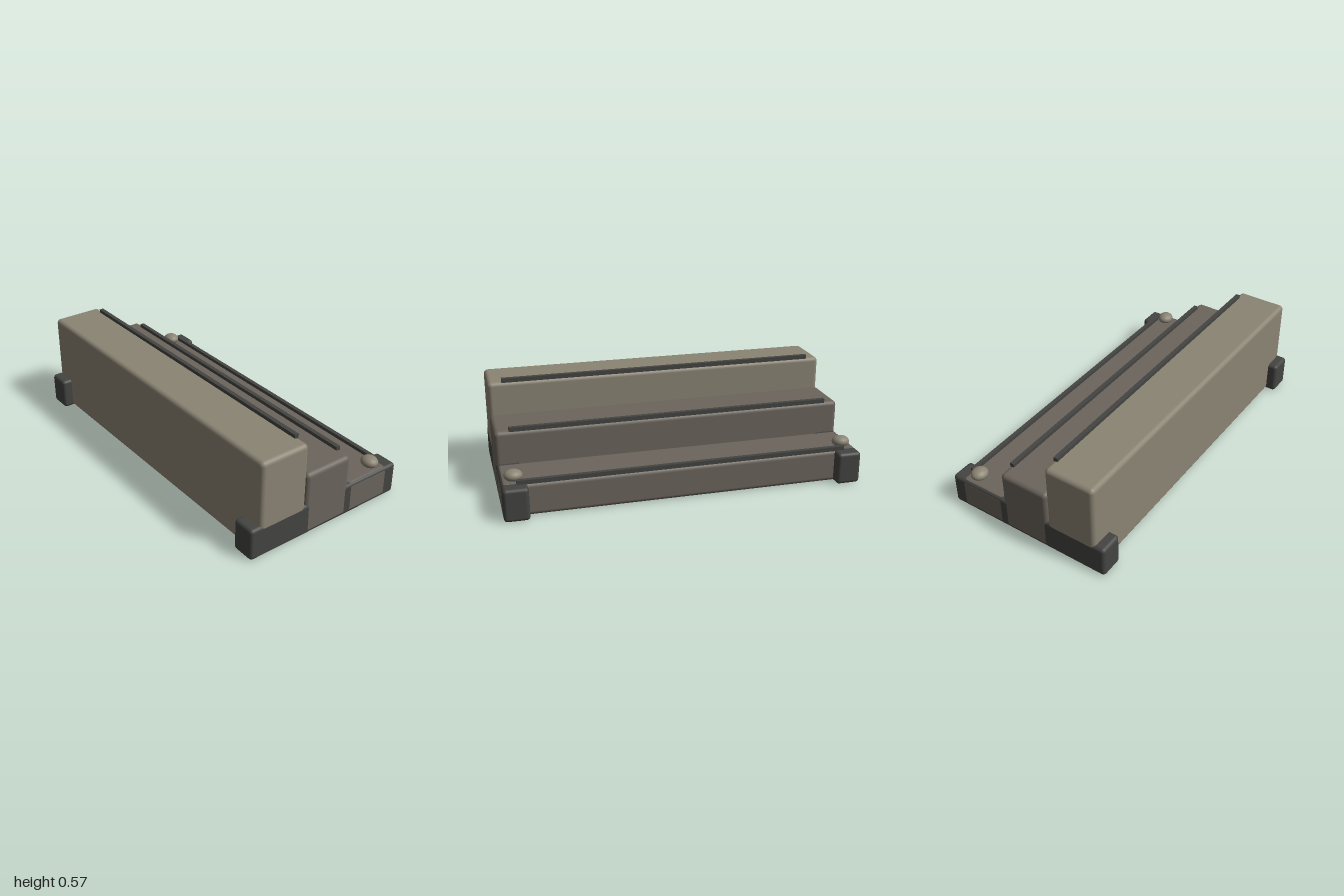
import * as THREE from 'three';
import { RoundedBoxGeometry } from 'three/addons/geometries/RoundedBoxGeometry.js';

export function createModel() {
  const group = new THREE.Group();
  const stone = new THREE.MeshStandardMaterial({ color: 0x8b8474 });
  const darkStone = new THREE.MeshStandardMaterial({ color: 0x6b655c });
  const trim = new THREE.MeshStandardMaterial({ color: 0x444442 });

  const add = (name, geometry, material, x, y, z) => {
    const mesh = new THREE.Mesh(geometry, material);
    mesh.name = name;
    mesh.position.set(x, y, z);
    group.add(mesh);
    return mesh;
  };

  // Three treads rising towards the front; tiny offsets keep flush faces apart
  const steps = [
    { name: 'upperStep', height: 0.554, z: 0.295, length: 1.998, material: stone },
    { name: 'middleStep', height: 0.369, z: 0, length: 2, material: darkStone },
    { name: 'lowerStep', height: 0.1855, z: -0.295, length: 2, material: darkStone },
  ];
  for (const { name, height, z, length, material } of steps) {
    const base = 0.001;
    const body = new RoundedBoxGeometry(length, height - base, 0.295, 4, 0.025);
    add(name, body, material, 0, (height + base) / 2, z);

    // Grip strip along the rear edge of each tread
    const strip = new THREE.BoxGeometry(1.84, 0.024, 0.024);
    add(name + 'GripStrip', strip, trim, 0, height + 0.008, z - 0.132);
  }

  for (const side of [-1, 1]) {
    const label = side > 0 ? 'left' : 'right';
    // End rail running front to back
    add(label + 'EndRail', new RoundedBoxGeometry(0.137, 0.184, 1, 4, 0.02), trim,
      side * 0.931, 0.092, 0);
    // Flattened knob on the lowest tread
    const knob = add(label + 'Knob', new THREE.SphereGeometry(1, 24, 16), stone,
      side * 0.93, 0.21, -0.367);
    knob.scale.set(0.05, 0.032, 0.045);
  }
  return group;
}
